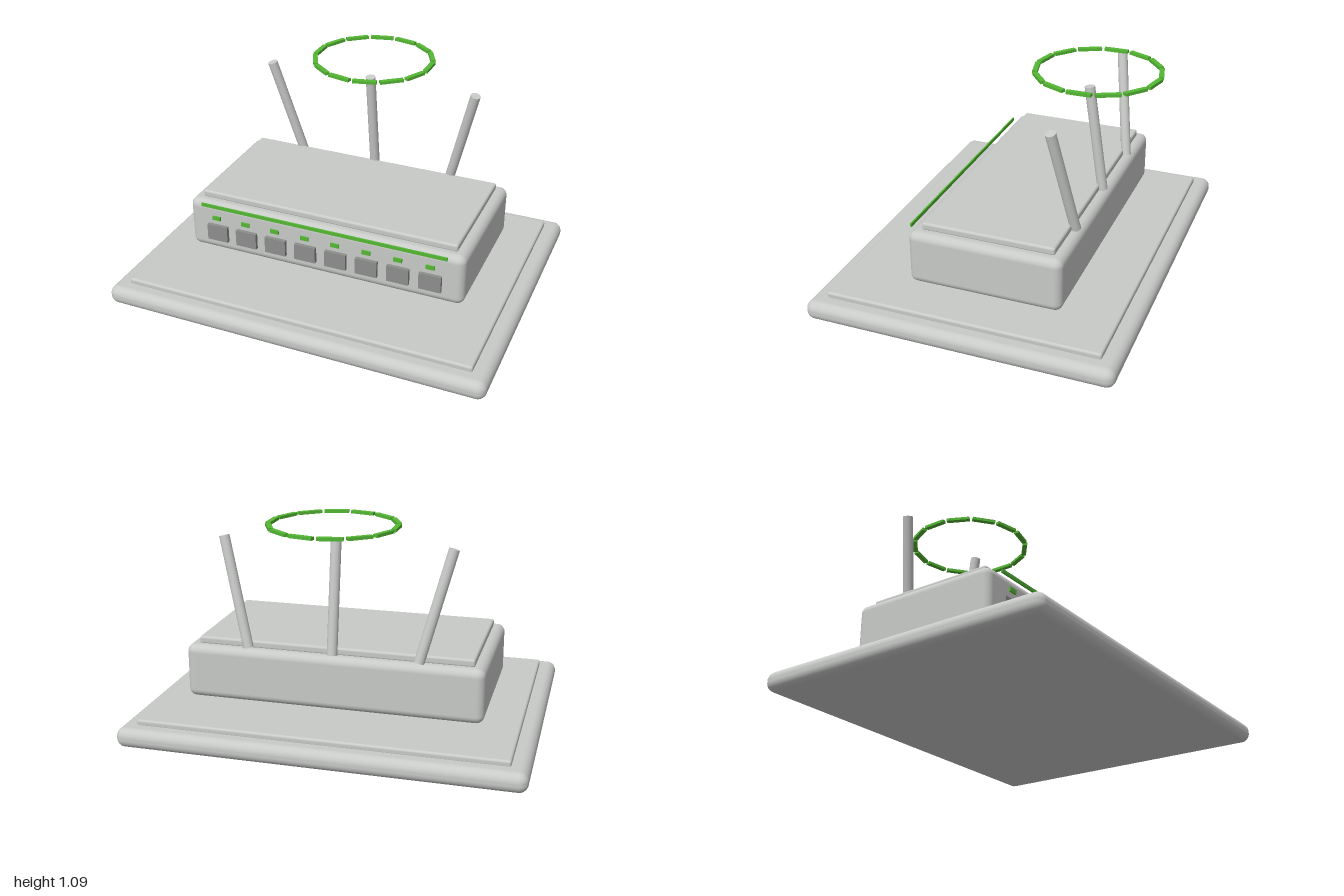
import * as THREE from 'three';
import { RoundedBoxGeometry } from 'three/addons/geometries/RoundedBoxGeometry.js';

export function createModel() {
  const model = new THREE.Group();
  model.name = 'networkRouter';

  const material = (name, color) => {
    const m = new THREE.MeshStandardMaterial({ color });
    m.name = name;
    return m;
  };
  const grey = material('light grey', 0xc8cac8);
  const darkGrey = material('port grey', 0x8c8e8c);
  const green = material('signal green', 0x54b834);

  const add = (name, geometry, mat, x, y, z, parent = model) => {
    const mesh = new THREE.Mesh(geometry, mat);
    mesh.name = name;
    mesh.position.set(x, y, z);
    parent.add(mesh);
    return mesh;
  };
  const rounded = (w, h, d, r) => new RoundedBoxGeometry(w, h, d, 5, r);

  // Base slab with a raised plate
  add('base', rounded(2, 0.1, 1.555, 0.045), grey, 0, 0.05, 0);
  add('basePlate', rounded(1.83, 0.035, 1.39, 0.012), grey, 0, 0.109, 0);

  // Router housing floating above the plate
  add('housing', rounded(1.5, 0.275, 0.775, 0.04), grey, 0, 0.308, -0.056);
  add('lid', rounded(1.39, 0.04, 0.67, 0.012), grey, 0, 0.46, -0.058);

  // Front ports, each with an indicator light above it
  const portGeo = new THREE.BoxGeometry(0.115, 0.088, 0.03);
  const lightGeo = new THREE.BoxGeometry(0.045, 0.022, 0.008);
  for (let i = 0; i < 8; i++) {
    const x = (i - 3.5) * 0.1667;
    add('port', portGeo, darkGrey, x, 0.281, 0.336);
    add('indicatorLight', lightGeo, green, x, 0.371, 0.348);
  }
  add('lightBar', new THREE.BoxGeometry(1.335, 0.018, 0.008), green, 0, 0.438, 0.348);

  // Three antennas, all leaning forward and the outer two outward
  const up = new THREE.Vector3(0, 1, 0);
  for (const side of [-1, 0, 1]) {
    const foot = new THREE.Vector3(side * 0.43, 0.447, -0.405);
    const tip = new THREE.Vector3(side * 0.57, side ? 0.99 : 0.998, -0.322);
    const axis = tip.clone().sub(foot);
    const mid = foot.clone().add(tip).multiplyScalar(0.5);
    const geo = new THREE.CylinderGeometry(0.026, 0.026, axis.length(), 24);
    const antenna = add('antenna', geo, grey, mid.x, mid.y, mid.z);
    antenna.quaternion.setFromUnitVectors(up, axis.normalize());
  }

  // Signal ring of straight segments above the antennas
  const ring = new THREE.Group();
  ring.name = 'signalRing';
  ring.position.set(0, 1.085, -0.364);
  model.add(ring);
  const segmentGeo = new THREE.BoxGeometry(0.025, 0.015, 0.122);
  for (let i = 0; i < 14; i++) {
    const a = (i / 14) * Math.PI * 2;
    const segment = add('ringSegment', segmentGeo, green, Math.cos(a) * 0.304, 0, -Math.sin(a) * 0.304, ring);
    segment.rotation.y = a;
  }

  return model;
}
